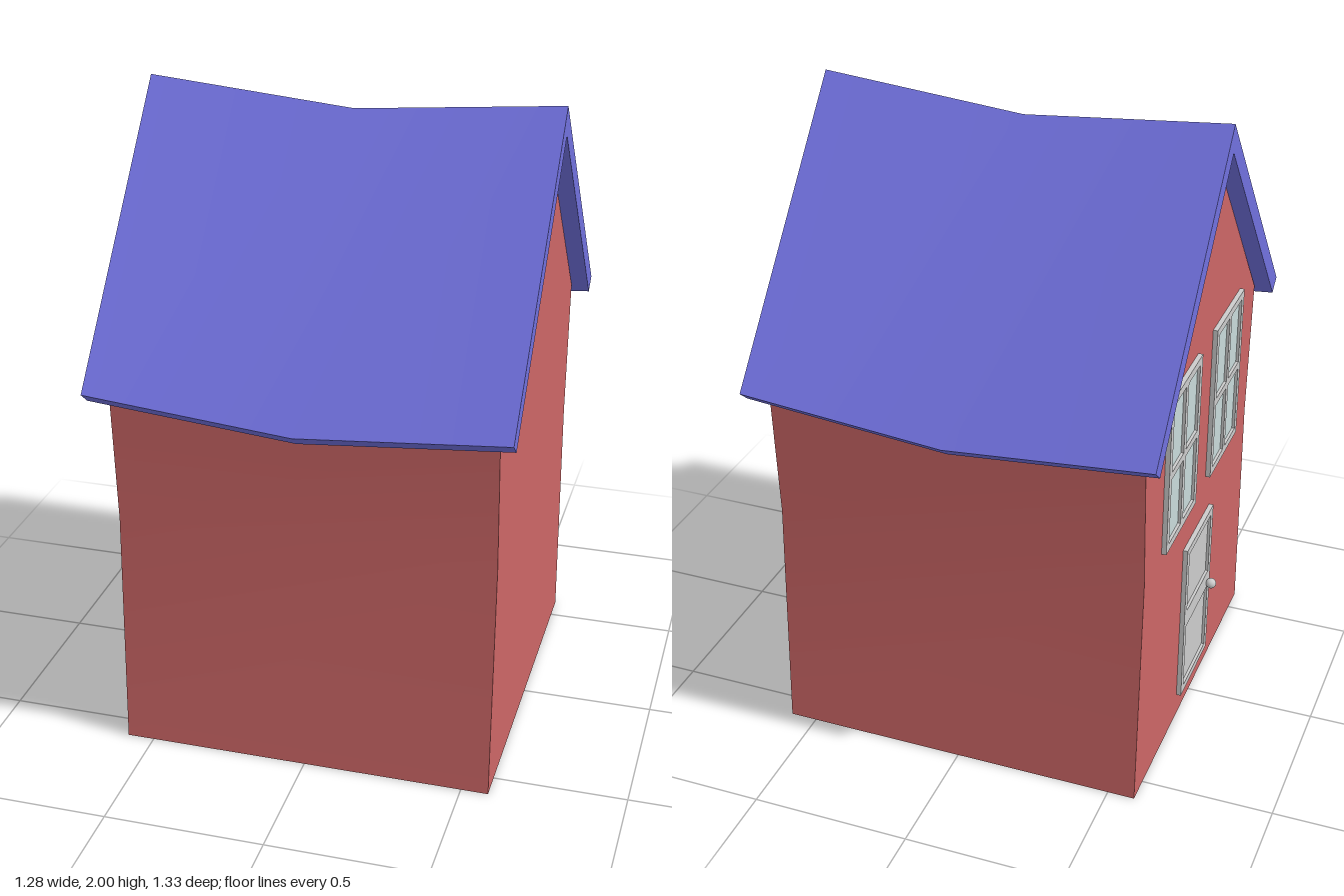
import * as THREE from 'three';
import { toCreasedNormals } from 'three/addons/utils/BufferGeometryUtils.js';

const mat = (color) => new THREE.MeshStandardMaterial({ color });
const grey = mat(0xcccccc);
const wallRed = mat(0xcc6666);
const roofBlue = mat(0x7070dd);
const glass = mat(0xc8dada);

const WALL = 0.585; // half width of the house

function addMesh(parent, name, geometry, material) {
  const mesh = new THREE.Mesh(geometry, material);
  mesh.name = name;
  parent.add(mesh);
  return mesh;
}

const toShape = (pts) => new THREE.Shape(pts.map(([a, b]) => new THREE.Vector2(a, b)));

// Extrude a (z, y) outline along x, centred on x = 0
function extrudeAlongX(pts, width, steps) {
  const g = new THREE.ExtrudeGeometry(toShape(pts), { depth: width, steps, bevelEnabled: false });
  g.translate(0, 0, -width / 2);
  g.rotateY(Math.PI / 2);
  return g;
}

// Mirror a half outline (listed from bottom to ridge) in z
const mirrored = (half) => [...half, ...half.filter(([z]) => z > 0).reverse().map(([z, y]) => [-z, y])];

const rect = (z0, z1, y0, y1) => [[z0, y0], [z1, y0], [z1, y1], [z0, y1]];

// Frame with recessed panels on the -x wall; rows and cols are panel intervals
function framedPanel(name, z0, z1, y0, y1, cols, rows, panelMaterial) {
  const group = new THREE.Group();
  group.name = name;
  const frame = toShape(rect(z0, z1, y0, y1));
  for (const [a, b] of cols) {
    for (const [c, d] of rows) {
      frame.holes.push(toShape(rect(a, b, c, d)));
      const pane = new THREE.BoxGeometry(0.012, d - c, b - a);
      pane.translate(-WALL, (c + d) / 2, (a + b) / 2);
      addMesh(group, 'panel', pane, panelMaterial);
    }
  }
  const g = new THREE.ExtrudeGeometry(frame, { depth: 0.02, bevelEnabled: false });
  g.rotateY(-Math.PI / 2);
  g.translate(-WALL + 0.005, 0, 0);
  addMesh(group, 'frame', g, grey);
  return group;
}

export function createModel() {
  const house = new THREE.Group();
  house.name = 'house';

  // Walls, pinched in slightly at mid height
  const walls = extrudeAlongX(mirrored([[WALL, 0], [0.557, 0.77], [WALL, 1.22], [0, 1.91]]), WALL * 2, 1);
  addMesh(house, 'walls', toCreasedNormals(walls, 0.5), wallRed);

  // Gabled roof slab, sagging in the middle
  const roof = extrudeAlongX(
    [[0.622, 1.188], [0.665, 1.225], [0, 2], [-0.665, 1.225], [-0.622, 1.188], [0, 1.912]], 1.276, 2);
  const p = roof.attributes.position;
  for (let i = 0; i < p.count; i++) {
    if (Math.abs(p.getX(i)) < 0.01) p.setY(i, p.getY(i) - 0.057);
  }
  addMesh(house, 'roof', toCreasedNormals(roof, 0.5), roofBlue);

  // Pair of four-pane windows
  for (const side of [-1, 1]) {
    const c = side * 0.235;
    house.add(framedPanel('window', c - 0.155, c + 0.155, 0.78, 1.3,
      [[c - 0.13, c - 0.012], [c + 0.012, c + 0.13]],
      [[0.805, 1.028], [1.052, 1.275]], glass));
  }

  // Two-panel door with a round knob
  const door = framedPanel('door', -0.145, 0.145, 0.08, 0.64,
    [[-0.12, 0.12]], [[0.105, 0.34], [0.4, 0.615]], grey);
  const knob = addMesh(door, 'doorKnob', new THREE.SphereGeometry(0.017, 20, 14), grey);
  knob.position.set(-0.615, 0.36, 0.11);
  house.add(door);

  return house;
}
